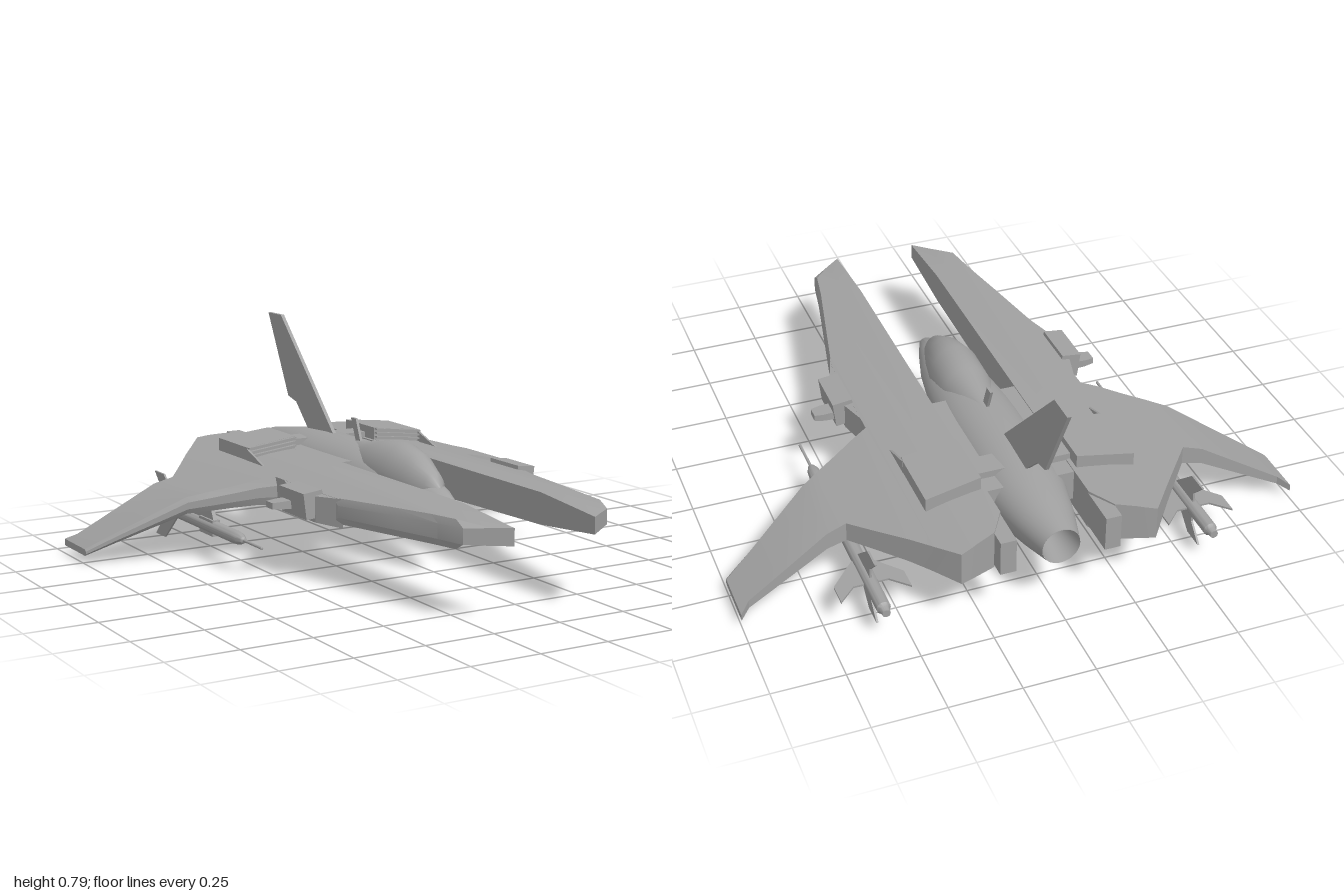
import * as THREE from 'three';
import { toCreasedNormals } from 'three/addons/utils/BufferGeometryUtils.js';

const material = new THREE.MeshStandardMaterial({ color: 0xa0a0a0 });
const openMaterial = new THREE.MeshStandardMaterial({ color: 0xa0a0a0, side: THREE.DoubleSide });

// Skin through rings of [x, y, z] points; optional flat caps on both ends
function loft(rings, { caps = true, crease = 0.5 } = {}) {
  const pos = [];
  const tri = (...pts) => pts.forEach(p => pos.push(...p));
  const n = rings[0].length;
  for (let i = 0; i < rings.length - 1; i++) {
    const A = rings[i], B = rings[i + 1];
    for (let j = 0; j < n; j++) {
      const k = (j + 1) % n;
      tri(A[j], B[k], A[k]);
      tri(A[j], B[j], B[k]);
    }
  }
  if (caps) {
    const first = rings[0], last = rings[rings.length - 1];
    for (let j = 1; j < n - 1; j++) {
      tri(first[0], first[j], first[j + 1]);
      tri(last[0], last[j + 1], last[j]);
    }
  }
  const geo = new THREE.BufferGeometry();
  geo.setAttribute('position', new THREE.Float32BufferAttribute(pos, 3));
  return toCreasedNormals(geo, crease);
}

// Rounded hull from stations [z, half width, bottom, middle, top]
function hull(stations, n = 32) {
  const rings = stations.map(([z, w, low, mid, high]) =>
    Array.from({ length: n }, (_, j) => {
      const a = (j / n) * Math.PI * 2, s = Math.sin(a);
      return [w * Math.cos(a), mid + s * (s > 0 ? high - mid : mid - low), z];
    }));
  return loft(rings, { caps: false, crease: 0.8 });
}

// Thin upright plate from a side outline of [z, y] points
function plate(points, thickness) {
  const shape = new THREE.Shape(points.map(p => new THREE.Vector2(...p)));
  return new THREE.ExtrudeGeometry(shape, { depth: thickness, bevelEnabled: false })
    .translate(0, 0, -thickness / 2).rotateY(-Math.PI / 2);
}

// Box given by its limits on each axis
function box(x0, x1, y0, y1, z0, z1) {
  return new THREE.BoxGeometry(x1 - x0, y1 - y0, z1 - z0)
    .translate((x0 + x1) / 2, (y0 + y1) / 2, (z0 + z1) / 2);
}

// Block spanning sections [x, bottom, top, front z, back z]
function block(sections) {
  return loft(sections.map(([x, low, top, zf, zb]) =>
    [[x, low, zf], [x, top, zf], [x, top, zb], [x, low, zb]]), { crease: 0.2 });
}

// Copy reflected in x, with the corner order turned round again
function mirror(geo) {
  const g = geo.index ? geo.toNonIndexed() : geo.clone();
  for (const name of ['position', 'normal']) {
    const attr = g.attributes[name];
    for (let i = 0; i < attr.count; i += 3) {
      const v = [0, 2, 1].map(k => new THREE.Vector3().fromBufferAttribute(attr, i + k));
      v.forEach((p, k) => attr.setXYZ(i + k, -p.x, p.y, p.z));
    }
  }
  return g;
}

export function createModel() {
  const model = new THREE.Group();
  model.name = 'fighterCraft';
  const add = (name, geo, mat = material) => {
    const mesh = new THREE.Mesh(geo, mat);
    mesh.name = name;
    model.add(mesh);
  };
  const addPair = (name, geo) => {
    add(name + 'Left', geo);
    add(name + 'Right', mirror(geo));
  };

  // Fuselage: slim nose, then a step down to the deeper belly
  add('fuselage', hull([
    [0.385, 0.003, 0.252, 0.255, 0.258],
    [0.36, 0.025, 0.235, 0.258, 0.28],
    [0.28, 0.055, 0.215, 0.26, 0.31],
    [0.15, 0.093, 0.2, 0.265, 0.34],
    [0, 0.12, 0.19, 0.27, 0.365],
    [-0.14, 0.135, 0.185, 0.27, 0.38],
    [-0.19, 0.138, 0.143, 0.27, 0.383],
    [-0.27, 0.14, 0.13, 0.27, 0.385],
    [-0.5, 0.14, 0.122, 0.27, 0.385],
    [-0.68, 0.13, 0.132, 0.27, 0.375],
    [-0.82, 0.1, 0.165, 0.27, 0.355],
    [-0.945, 0.066, 0.2, 0.267, 0.335],
  ]));

  // Canopy bubble
  add('canopy', hull([
    [0.29, 0.01, 0.26, 0.29, 0.31],
    [0.25, 0.045, 0.26, 0.29, 0.355],
    [0.15, 0.075, 0.26, 0.3, 0.408],
    [0.05, 0.095, 0.26, 0.31, 0.43],
    [-0.08, 0.095, 0.26, 0.31, 0.417],
    [-0.2, 0.075, 0.26, 0.3, 0.393],
    [-0.35, 0.03, 0.26, 0.3, 0.38],
  ]));

  // Hollow exhaust
  add('exhaustNozzle', new THREE.CylinderGeometry(0.045, 0.066, 0.13, 32, 1, true)
    .rotateX(Math.PI / 2).translate(0, 0.267, -0.88), openMaterial);
  add('exhaustBack', new THREE.CircleGeometry(0.046, 32)
    .rotateY(Math.PI).translate(0, 0.267, -0.816));

  // Tail fin and small antenna
  add('tailFin', plate([[-0.44, 0.37], [-0.865, 0.79], [-0.97, 0.79], [-0.81, 0.48],
    [-0.745, 0.465], [-0.615, 0.34]], 0.014));
  add('antenna', plate([[-0.245, 0.37], [-0.285, 0.465], [-0.32, 0.465], [-0.28, 0.37]], 0.01));

  // Side body with forward prong, running out into the drooped wing
  // [x, front z, back z, top, bottom, length of front taper, rise of bottom at front]
  const sections = [
    [0.155, 0.968, -0.8, 0.345, 0.2, 0.3, 0.035],
    [0.21, 0.923, -0.89, 0.342, 0.2, 0.18, 0.035],
    [0.28, 0.866, -0.918, 0.335, 0.203, 0.04, 0.035],
    [0.3, 0.75, -0.927, 0.332, 0.205, 0.04, 0.03],
    [0.34, 0.563, -0.94, 0.325, 0.206, 0.035, 0.025],
    [0.4, 0.283, -0.86, 0.312, 0.21, 0.03, 0.015],
    [0.404, -0.147, -0.854, 0.311, 0.21, 0.012, 0],
    [0.46, -0.178, -0.78, 0.3, 0.21, 0.012, 0],
    [0.54, -0.222, -0.673, 0.277, 0.2, 0.012, 0],
    [0.61, -0.26, -0.58, 0.259, 0.19, 0.012, 0],
    [0.68, -0.3, -0.59, 0.24, 0.18, 0.012, 0],
    [0.9, -0.42, -0.625, 0.114, 0.078, 0.01, 0],
    [0.965, -0.452, -0.635, 0.077, 0.048, 0.01, 0],
    [1, -0.47, -0.67, 0.056, 0.032, 0.01, 0],
  ];
  addPair('wingBody', loft(sections.map(([x, zf, zb, top, low, d, rise]) => {
    const mid = (top + low + rise) / 2, t = (top - low) * 0.2;
    return [[x, mid - t, zf], [x, mid + t, zf], [x, top, zf - d],
      [x, top, zb], [x, low, zb], [x, low + rise, zf - d]];
  }), { crease: 0.3 }));

  // Shoulder of the prong ahead of the wing root
  addPair('prongShoulder', block([[0.39, 0.213, 0.313, 0.3, -0.15], [0.43, 0.215, 0.306, 0.18, 0]]));

  // Joints between fuselage and side bodies
  addPair('bodyJoint', box(0.08, 0.17, 0.23, 0.341, -0.68, -0.14));
  addPair('upperBridge', box(0.06, 0.18, 0.32, 0.365, -0.61, -0.52));
  addPair('rearBlock', box(0.155, 0.21, 0.21, 0.336, -0.945, -0.79));

  // Upper intakes: sloped hood, slats in the mouth and a raked outer cheek
  addPair('upperIntake', block([[0.17, 0.3, 0.391, -0.45, -0.665], [0.37, 0.28, 0.366, -0.45, -0.685]]));
  for (let i = 0; i < 4; i++) {
    addPair('intakeSlat' + (i + 1), box(-0.098, 0.098, -0.003, 0.003, -0.012, 0.012)
      .rotateZ(-0.12).translate(0.27, 0.33 + i * 0.015, -0.446));
  }
  addPair('intakeCheek', plate([[-0.31, 0.315], [-0.46, 0.364], [-0.46, 0.29]], 0.008).translate(0.367, 0, 0));

  // Lower intakes
  addPair('lowerIntake', block([[0.185, 0.146, 0.225, -0.43, -0.67], [0.365, 0.16, 0.225, -0.43, -0.67]]));

  // Gun pods on the prong shoulders
  addPair('sidePod', box(-0.036, 0.036, -0.046, 0.046, 0, 0.177).rotateZ(-0.12).translate(0.432, 0.276, 0.001));
  addPair('sidePodStub', block([[0.46, 0.247, 0.277, 0.076, 0.016], [0.5, 0.249, 0.275, 0.076, 0.016],
    [0.535, 0.251, 0.273, 0.069, 0.023]]));

  // Missiles under the wings
  const profile = [[0, -0.9], [0.014, -0.9], [0.017, -0.88], [0.024, -0.87], [0.024, -0.13],
    [0.021, -0.09], [0.012, -0.065], [0.005, -0.06], [0.005, 0.075], [0, 0.078]]
    .map(p => new THREE.Vector2(...p));
  addPair('missileBody', toCreasedNormals(new THREE.LatheGeometry(profile, 20), 0.6)
    .rotateX(Math.PI / 2).translate(0.58, 0.122, 0));
  const finOutline = [[-0.6, 0.015], [-0.72, 0.12], [-0.8, 0.12], [-0.74, 0.06], [-0.74, 0.015]];
  for (let k = 0; k < 4; k++) {
    addPair('missileFin' + (k + 1), plate(finOutline, 0.007)
      .rotateZ(k * Math.PI / 2).translate(0.58, 0.122, 0));
  }
  addPair('missilePylon', plate([[-0.28, 0.13], [-0.32, 0.215], [-0.5, 0.215], [-0.46, 0.13]], 0.014)
    .translate(0.58, 0, 0));
  addPair('missileClamp', box(0.565, 0.595, 0.092, 0.15, -0.39, -0.28));

  return model;
}
